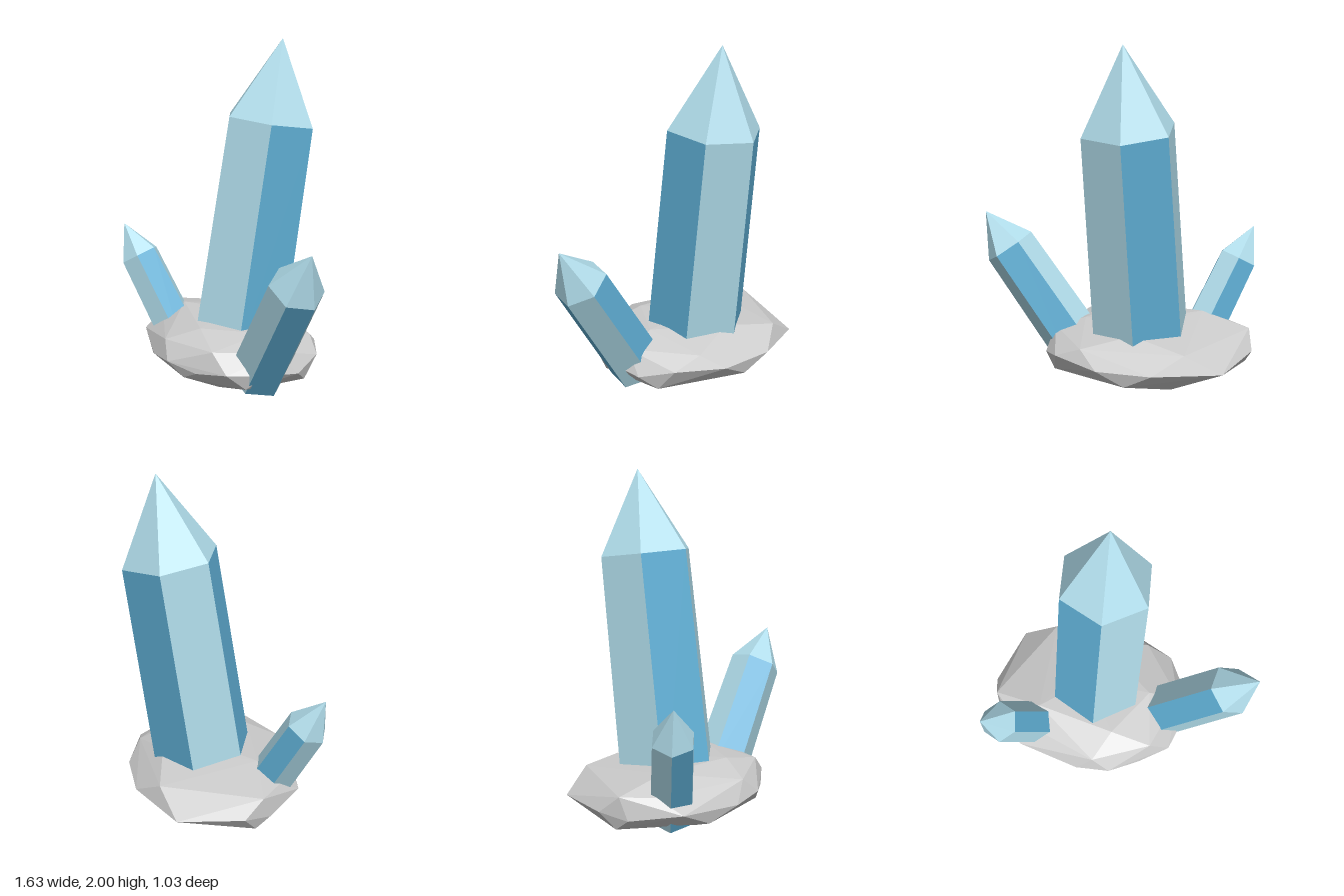
import * as THREE from 'three';
import { ConvexGeometry } from 'three/addons/geometries/ConvexGeometry.js';

const rockMat = new THREE.MeshStandardMaterial({ color: 0xcccccc, flatShading: true });
const paleMat = new THREE.MeshStandardMaterial({ color: 0xb0dcea, flatShading: true });
const blueMat = new THREE.MeshStandardMaterial({ color: 0x60b0d6, flatShading: true });

// Six-sided crystal: alternating pale and blue sides, pale pointed tip.
// shoulder = centre of the ring where the tip begins, dir = growth direction.
function crystal(name, shoulder, dir, radius, body, tip, twistDeg) {
  const group = new THREE.Group();
  group.name = name;
  const add = (part, geometry, material) => {
    const mesh = new THREE.Mesh(geometry, material);
    mesh.name = part;
    group.add(mesh);
  };
  const step = Math.PI / 3;
  const start = THREE.MathUtils.degToRad(twistDeg) - step / 2;
  const bottom = radius * 1.08;

  for (let i = 0; i < 6; i++) {
    const side = new THREE.CylinderGeometry(radius, bottom, body, 1, 1, true, start + i * step, step);
    side.translate(0, -body / 2, 0);
    add('side' + (i + 1), side, i % 2 ? blueMat : paleMat);
  }
  const point = new THREE.ConeGeometry(radius, tip, 6, 1, true, start);
  point.translate(0, tip / 2, 0);
  add('tip', point, paleMat);

  const base = new THREE.CircleGeometry(bottom, 6, start - Math.PI / 2);
  base.rotateX(Math.PI / 2);
  base.translate(0, -body, 0);
  add('base', base, paleMat);

  // Local y follows the growth direction, local z stays towards the front
  const y = new THREE.Vector3(...dir).normalize();
  const z = new THREE.Vector3(0, 0, 1).addScaledVector(y, -y.z).normalize();
  const x = new THREE.Vector3().crossVectors(y, z);
  group.quaternion.setFromRotationMatrix(new THREE.Matrix4().makeBasis(x, y, z));
  group.position.set(...shoulder);
  return group;
}

// Flat faceted stone: rings scaled from one irregular outline
function rock() {
  const outline = [ // x, y, z round the widest part
    [-0.5, 0.2, -0.5], [-0.1, 0.21, -0.52], [0.2, 0.2, -0.39], [0.42, 0.22, -0.175],
    [0.47, 0.17, 0.03], [0.43, 0.2, 0.24], [0.3, 0.21, 0.42], [0.1, 0.18, 0.47],
    [-0.1, 0.21, 0.51], [-0.3, 0.19, 0.45], [-0.63, 0.22, 0.25],
    [-0.73, 0.19, -0.03], [-0.725, 0.22, -0.2],
  ];
  const cx = -0.13, n = outline.length;
  const points = outline.map((p) => new THREE.Vector3(...p));
  const ring = (scale, y, stride, shift, wobble) => {
    for (let i = 0; i < n - 1; i += stride) {
      const a = outline[(i + shift) % n], b = outline[(i + shift + 1) % n];
      const px = (a[0] + b[0]) / 2, pz = (a[2] + b[2]) / 2;
      points.push(new THREE.Vector3(
        cx + (px - cx) * scale,
        y - px * 0.02 + Math.sin(i * 2.3) * wobble,
        pz * scale));
    }
  };
  ring(0.93, 0.305, 2, 0, 0.012);
  ring(0.62, 0.365, 3, 1, 0.006);
  ring(0.96, 0.12, 2, 1, 0.012);
  ring(0.62, 0.04, 3, 0, 0.006);
  points.push(new THREE.Vector3(-0.73, 0.32, -0.08));
  points.push(new THREE.Vector3(-0.15, 0.388, -0.05));
  points.push(new THREE.Vector3(-0.1, 0, -0.03));
  const mesh = new THREE.Mesh(new ConvexGeometry(points), rockMat);
  mesh.name = 'rockBase';
  return mesh;
}

export function createModel() {
  const model = new THREE.Group();
  model.name = 'crystalCluster';
  model.add(
    rock(),
    crystal('mainCrystal', [0, 1.53, -0.207], [0.073, 1, -0.13], 0.276, 1.4, 0.476, 16),
    crystal('leftCrystal', [0.675, 0.76, 0.265], [0.67, 1, 0.18], 0.155, 0.75, 0.256, 0),
    crystal('rightCrystal', [-0.713, 0.665, 0.22], [-0.525, 1, 0.21], 0.122, 0.6, 0.218, 15),
  );
  return model;
}
